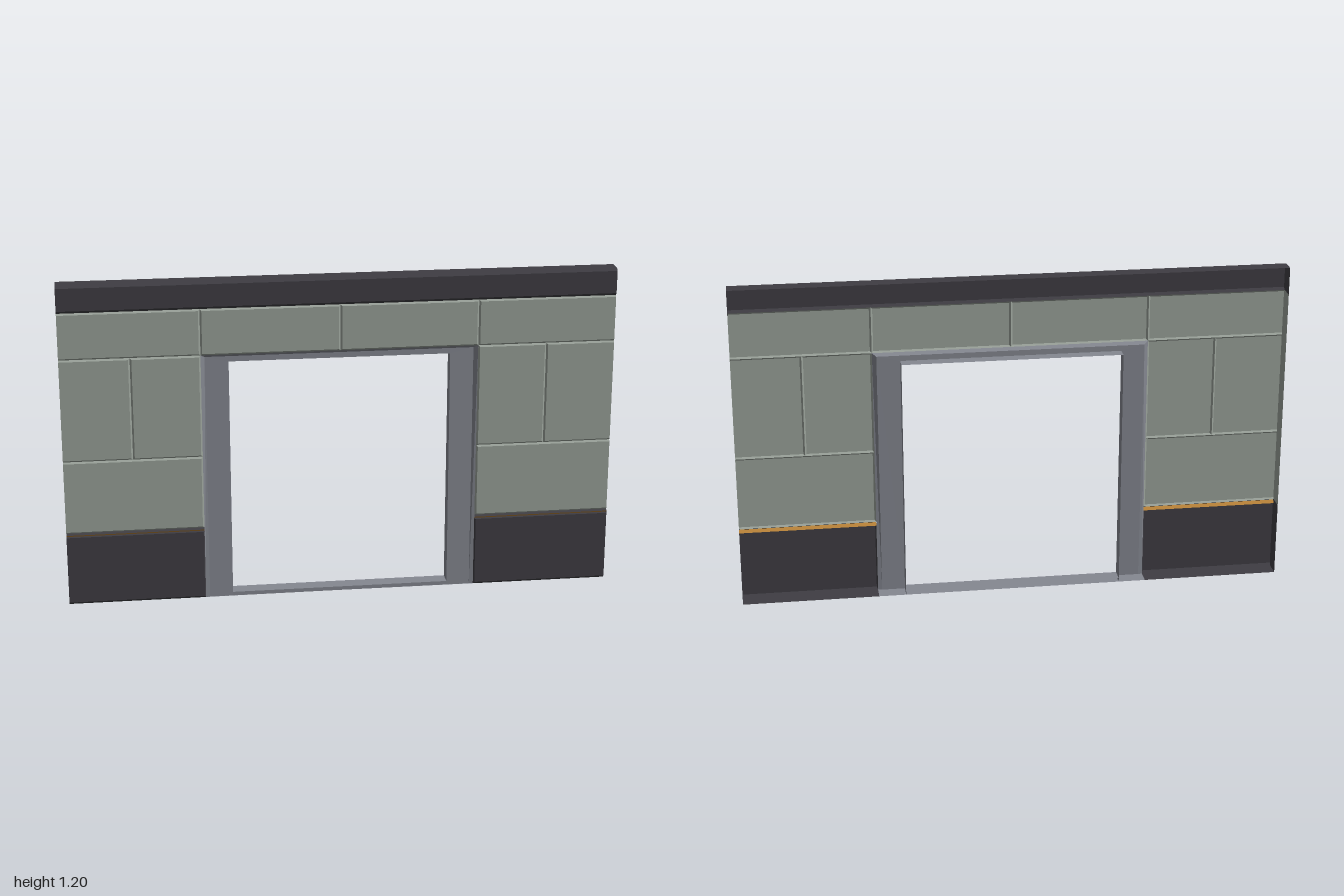
import * as THREE from 'three';

const BACK = -0.033;   // open rear edge of the wall shell
const GROOVE = 0.024;  // depth where neighbouring bevels meet

const material = (name, color) => {
  const m = new THREE.MeshStandardMaterial({ color, side: THREE.DoubleSide });
  m.name = name;
  return m;
};

// Mesh from flat convex polygons; side -1 mirrors them across x
function sheet(name, mat, polygons, side = 1) {
  const positions = [];
  for (const polygon of polygons) {
    const p = side > 0 ? polygon : polygon.map(([x, y, z]) => [-x, y, z]).reverse();
    for (let i = 1; i < p.length - 1; i++) positions.push(...p[0], ...p[i], ...p[i + 1]);
  }
  const geometry = new THREE.BufferGeometry();
  geometry.setAttribute('position', new THREE.Float32BufferAttribute(positions, 3));
  geometry.computeVertexNormals();
  const mesh = new THREE.Mesh(geometry, mat);
  mesh.name = name;
  return mesh;
}

// Bevelled front panel; l, r, b, t are the bevel widths of its edges
function panelFaces(x0, x1, y0, y1, z, { l = 0, r = 0, b = 0, t = 0 }) {
  const g = GROOVE;
  const a0 = x0 + l, a1 = x1 - r, b0 = y0 + b, b1 = y1 - t;
  const faces = [[[a0, b0, z], [a1, b0, z], [a1, b1, z], [a0, b1, z]]];
  if (l) faces.push([[x0, y0, g], [a0, b0, z], [a0, b1, z], [x0, y1, g]]);
  if (r) faces.push([[a1, b0, z], [x1, y0, g], [x1, y1, g], [a1, b1, z]]);
  if (b) faces.push([[x0, y0, g], [x1, y0, g], [a1, b0, z], [a0, b0, z]]);
  if (t) faces.push([[a0, b1, z], [a1, b1, z], [x1, y1, g], [x0, y1, g]]);
  return faces;
}

// End wall at x = 1 following the bevelled profile
function endFace(y0, y1, z, b, t) {
  return [[1, y0, BACK], [1, y1, BACK], [1, y1, t ? GROOVE : z], [1, y1 - t, z],
    [1, y0 + b, z], [1, y0, b ? GROOVE : z]];
}

export function createModel() {
  const model = new THREE.Group();
  model.name = 'doorwayWall';
  const panelMat = material('grey green panel', 0x9aa29a);
  const darkMat = material('charcoal', 0x3f3d43);
  const trimMat = material('blue grey trim', 0x858891);
  const stripeMat = material('orange stripe', 0xb88238);

  const d = 0.006, c = 0.009, front = 0.03, proud = 0.033;

  for (const side of [1, -1]) {
    const tag = side > 0 ? 'left' : 'right';
    const add = (name, mat, faces) => model.add(sheet(tag + name, mat, faces, side));

    // Wall panels: [x0, x1, y0, y1]
    const panels = [
      [0.5, 1, 0.276, 0.55], [0.5, 0.75, 0.55, 0.93], [0.75, 1, 0.55, 0.93],
      [0, 0.5, 0.93, 1.1], [0.5, 1, 0.93, 1.1],
    ];
    panels.forEach(([x0, x1, y0, y1], i) => {
      const faces = panelFaces(x0, x1, y0, y1, front,
        { l: d, r: x1 < 1 ? d : 0, b: d, t: d });
      if (x1 === 1) faces.push(endFace(y0, y1, front, d, d));
      add('WallPanel' + (i + 1), panelMat, faces);
    });

    // Base board with ledge, lip, end and underside
    add('BaseBoard', darkMat, [
      ...panelFaces(0.5, 1, 0, 0.262, proud, { l: 0.004, b: c }),
      [[0.5, 0.262, proud], [1, 0.262, proud], [1, 0.262, 0.02], [0.5, 0.262, 0.02]],
      [[0.5, 0.271, proud], [1, 0.271, proud], [1, 0.276, GROOVE], [0.5, 0.276, GROOVE]],
      endFace(0, 0.276, proud, c, 0.005),
      [[0.5, 0, BACK], [1, 0, BACK], [1, 0, GROOVE], [0.5, 0, GROOVE]],
    ]);

    // Stripe tucked under the base board lip
    add('Stripe', stripeMat, [
      [[0.5, 0.262, 0.02], [1, 0.262, 0.02], [1, 0.271, proud], [0.5, 0.271, proud]],
    ]);

    // Top beam half
    add('TopBeam', darkMat, [
      ...panelFaces(0, 1, 1.1, 1.2, proud, { b: c, t: c }),
      endFace(1.1, 1.2, proud, c, c),
      [[0, 1.2, GROOVE], [1, 1.2, GROOVE], [1, 1.2, BACK], [0, 1.2, BACK]],
    ]);

    // Door post: tapering reveal, leaning face and deep jamb
    const zLow = 0.022, zHigh = 0.012;
    add('DoorPost', trimMat, [
      [[0.485, 0, zLow], [0.5, 0, GROOVE], [0.5, 0.93, GROOVE], [0.485, 0.92, zHigh]],
      [[0.4, 0, zLow], [0.485, 0, zLow], [0.485, 0.92, zHigh], [0.4, 0.9, zHigh]],
      [[0.4, 0, BACK], [0.4, 0, zLow], [0.4, 0.9, zHigh], [0.4, 0.9, BACK]],
    ]);

    // Door head half
    add('DoorHead', trimMat, [
      [[0, 0.92, zHigh], [0.485, 0.92, zHigh], [0.5, 0.93, GROOVE], [0, 0.93, GROOVE]],
      [[0, 0.9, zHigh], [0.4, 0.9, zHigh], [0.485, 0.92, zHigh], [0, 0.92, zHigh]],
      [[0, 0.9, BACK], [0.4, 0.9, BACK], [0.4, 0.9, zHigh], [0, 0.9, zHigh]],
    ]);

    // Door sill half with underside reaching below the post
    add('DoorSill', trimMat, [
      [[0, 0, zLow], [0.4, 0, zLow], [0.4, 0.014, zLow], [0, 0.014, zLow]],
      [[0, 0.014, zLow], [0.4, 0.014, zLow], [0.4, 0.014, BACK], [0, 0.014, BACK]],
      [[0, 0, BACK], [0.5, 0, BACK], [0.5, 0, GROOVE], [0, 0, zLow]],
    ]);
  }
  return model;
}
